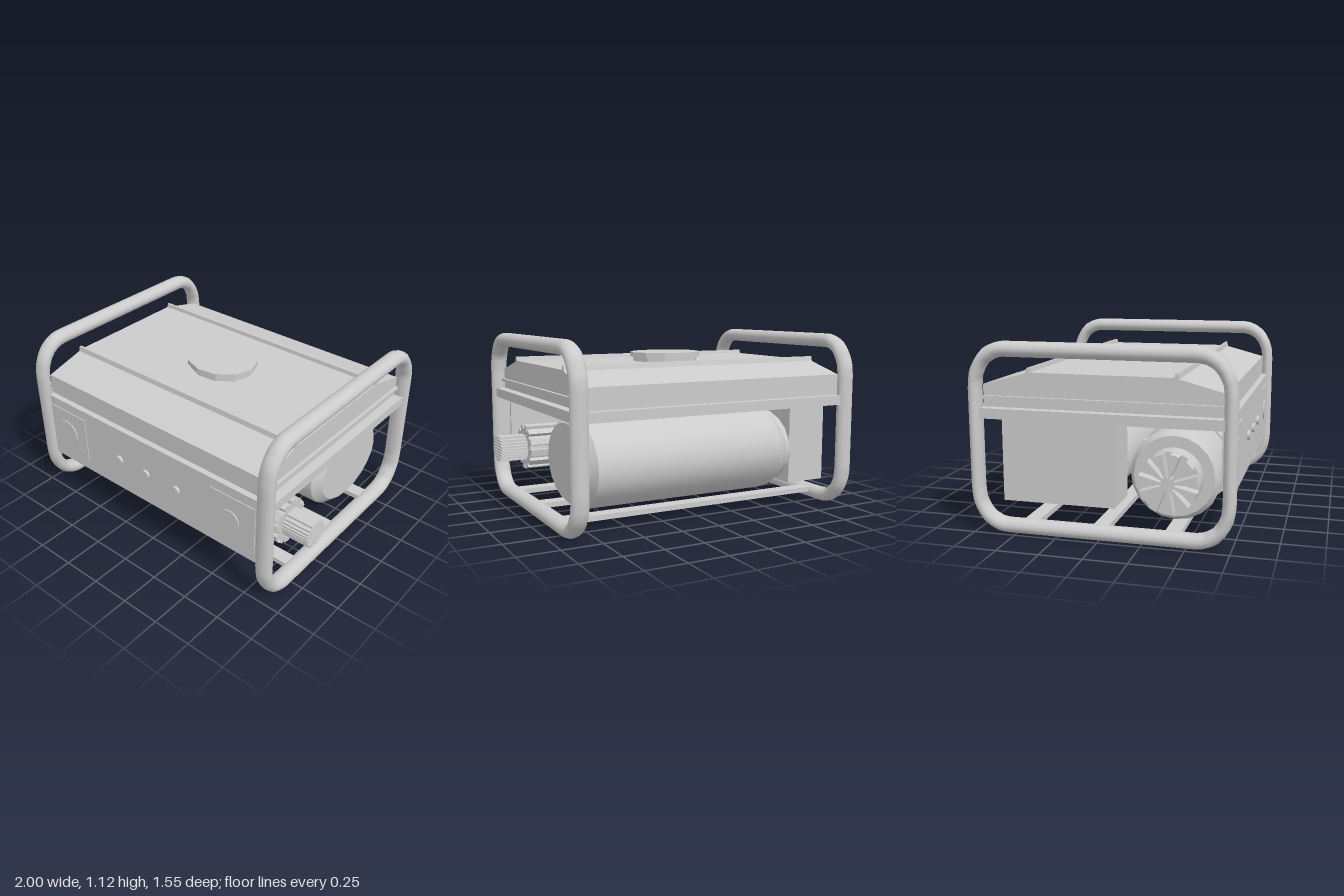
import * as THREE from 'three';
import { toCreasedNormals } from 'three/addons/utils/BufferGeometryUtils.js';

const material = new THREE.MeshStandardMaterial({ color: 0xcccccc });

export function createModel() {
  const model = new THREE.Group();

  const add = (name, geometry, x = 0, y = 0, z = 0) => {
    const mesh = new THREE.Mesh(geometry, material);
    mesh.name = name;
    mesh.position.set(x, y, z);
    model.add(mesh);
    return mesh;
  };
  // Box given by its limits on each axis
  const box = (name, x0, x1, y0, y1, z0, z1) =>
    add(name, new THREE.BoxGeometry(x1 - x0, y1 - y0, z1 - z0), (x0 + x1) / 2, (y0 + y1) / 2, (z0 + z1) / 2);
  // Turned part along x, from [x, radius] pairs
  const turned = (profile, sides) => {
    const g = new THREE.LatheGeometry(profile.map(([x, r]) => new THREE.Vector2(r, x)), sides);
    g.rotateZ(-Math.PI / 2);
    return toCreasedNormals(g, 0.5);
  };
  // Prism along x, from a [z, y] outline
  const prism = (outline, x0, x1) => {
    const shape = new THREE.Shape(outline.map(([z, y]) => new THREE.Vector2(-z, y)));
    const g = new THREE.ExtrudeGeometry(shape, { depth: x1 - x0, bevelEnabled: false });
    g.rotateY(Math.PI / 2);
    g.translate(x0, 0, 0);
    return g;
  };
  // Toothed outline around the origin
  const gear = (outer, inner, teeth) => {
    const points = [];
    for (let i = 0; i < teeth; i++) {
      [[0, inner], [0.04, outer], [0.6, outer], [0.64, inner]].forEach(([t, r]) => {
        const a = ((i + t) / teeth) * Math.PI * 2;
        points.push([r * Math.cos(a), r * Math.sin(a)]);
      });
    }
    return points;
  };
  const rod = (name, from, to, radius) => add(name, new THREE.TubeGeometry(
    new THREE.LineCurve3(new THREE.Vector3(...from), new THREE.Vector3(...to)), 1, radius, 10));

  // Rounded tube hoops at both ends, slightly slimmer in their uprights
  const hoop = new THREE.CurvePath();
  const slim = 0.84, hz = 0.737 / slim, low = 0.045, high = 1.075, r = 0.21;
  const corners = [[hz, low, 1, -1], [hz, high, 1, 1], [-hz, high, -1, 1], [-hz, low, -1, -1]];
  const path = [];
  corners.forEach(([z, y, sz, sy]) => {
    const start = Math.atan2(sy, sz) - Math.PI / 4;
    for (let i = 0; i <= 5; i++) {
      const a = start + (i / 5) * Math.PI / 2;
      path.push(new THREE.Vector3(0, y - sy * r + r * Math.sin(a), z - sz * r + r * Math.cos(a)));
    }
  });
  path.forEach((p, i) => hoop.add(new THREE.LineCurve3(p, path[(i + 1) % path.length])));
  const hoopGeometry = new THREE.TubeGeometry(hoop, 120, 0.045, 14, true);
  hoopGeometry.scale(1.22, 1, slim);
  add('rightFrameHoop', hoopGeometry, -0.945);
  add('leftFrameHoop', hoopGeometry, 0.88);

  // Floor bars joining the hoops
  for (const z of [-0.42, 0, 0.42]) box('floorBar', -0.94, 0.88, 0.048, 0.08, z - 0.045, z + 0.045);

  // Fuel tank with sloped shoulders, upright sides and a seam lip at each end
  add('fuelTank', prism([
    [0.705, 0.72], [0.705, 0.865], [0.42, 0.94], [-0.42, 0.94], [-0.705, 0.865], [-0.705, 0.72],
  ], -0.91, 0.85));
  box('tankSeam', -0.93, 0.87, 0.78, 0.8, -0.704, 0.704);
  for (const s of [-1, 1]) {
    add('tankRidge', prism([
      [s * 0.43 + 0.016, 0.93], [s * 0.43 + 0.01, 0.965], [s * 0.43 - 0.006, 0.965], [s * 0.43 - 0.016, 0.93],
    ], -0.91, 0.85));
  }

  // Rails under the tank
  box('backRail', -0.94, 0.88, 0.675, 0.735, -0.755, -0.7);
  for (const x of [-0.945, 0.88]) box('endRail', x - 0.03, x + 0.03, 0.675, 0.735, -0.72, 0.72);

  // Filler cap
  const cap = (name, radius, height, y) => {
    const g = new THREE.CylinderGeometry(radius, radius, height, 11).toNonIndexed();
    g.computeVertexNormals();
    g.rotateY(Math.PI / 2);
    g.scale(1, 1, 0.89);
    add(name, g, -0.035, y, 0);
  };
  cap('fillerCap', 0.238, 0.03, 0.985);
  cap('fillerNeck', 0.218, 0.04, 0.95);

  // Front control panel with socket plates and buttons
  box('controlPanel', -0.94, 0.87, 0.28, 0.735, 0.7, 0.742);
  box('panelBacking', -0.88, 0.82, 0.32, 0.735, 0.68, 0.7);
  box('socketPlate', -0.885, -0.565, 0.345, 0.672, 0.73, 0.748);
  box('socketPlate', 0.49, 0.815, 0.345, 0.672, 0.73, 0.748);
  const disc = (name, x, radius, front) => {
    const g = new THREE.CylinderGeometry(radius, radius, 0.03, 24);
    g.rotateX(Math.PI / 2);
    add(name, g, x, 0.505, front - 0.015);
  };
  disc('socket', -0.74, 0.09, 0.755);
  disc('socket', 0.635, 0.07, 0.755);
  for (const x of [-0.26, -0.03, 0.22]) disc('button', x, 0.03, 0.76);

  // Generator drum on the front side
  const gy = 0.365, gz = 0.4;
  add('generatorDrum', turned([
    [-0.81, 0], [-0.81, 0.235], [-0.77, 0.264], [-0.48, 0.264], [-0.48, 0.276], [0.34, 0.276], [0.4, 0.218], [0.4, 0],
  ], 20), 0, gy, gz);
  add('toothedHousing', prism(gear(0.147, 0.122, 12), 0.38, 0.82), 0, gy, gz);

  // Slatted vent at the end of the housing
  const vent = 0.086;
  for (let i = -4; i <= 4; i++) {
    const y = i * 0.0185;
    const half = Math.sqrt(vent * vent - y * y);
    box('ventSlat', 0.8, 1, gy + y - 0.0065, gy + y + 0.0065, gz - half, gz + half);
  }
  box('ventSpine', 0.8, 0.99, gy - 0.08, gy + 0.08, gz - 0.006, gz + 0.006);

  // Cooling fan on the opposite end
  add('fanHub', turned([[-0.92, 0], [-0.92, 0.17], [-0.8, 0.17], [-0.8, 0]], 20), 0, gy, gz);
  add('coolingFan', prism(gear(0.17, 0.04, 11), -0.985, -0.91), 0, gy, gz);

  // Oval muffler and engine block at the back
  const muffler = add('muffler', turned([
    [-0.62, 0], [-0.62, 0.86], [-0.58, 0.86], [-0.51, 1], [0.74, 1], [0.79, 0.84], [0.79, 0],
  ].map(([x, k]) => [x, k * 0.28]), 20), 0, 0.38, -0.3);
  muffler.scale.z = 1.33;
  box('engineBlock', -0.88, -0.61, 0.17, 0.735, -0.61, 0.07);

  // Connecting pipes
  rod('fuelPipe', [-0.2, 0.5, 0.24], [-0.2, 0.74, 0.045], 0.017);
  rod('crossPipe', [-0.2, 0.415, 0.2], [-0.2, 0.415, 0], 0.017);
  rod('mufflerStay', [0.1, 0.6, -0.27], [0.1, 0.74, -0.27], 0.017);

  return model;
}
